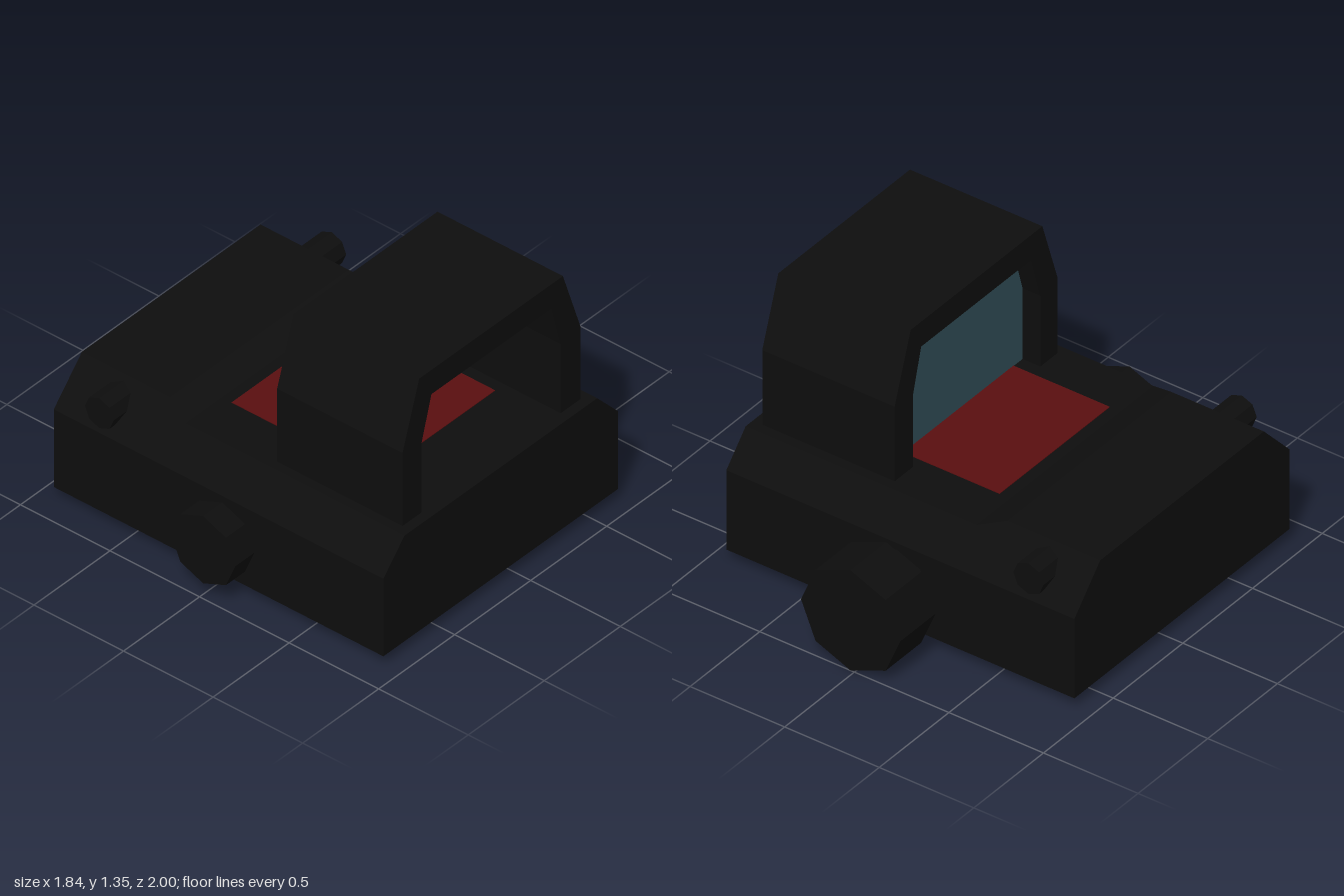
import * as THREE from 'three';

const black = new THREE.MeshStandardMaterial({ color: 0x0e0e0e });
black.name = 'matte black';
const red = new THREE.MeshStandardMaterial({ color: 0x5a0f10 });
red.name = 'dark red';
const glass = new THREE.MeshStandardMaterial({ color: 0x324f58 });
glass.name = 'tinted glass';

const FLOOR = 0.63; // height of the deck under the hood

function add(parent, name, geometry, material) {
  const mesh = new THREE.Mesh(geometry, material);
  mesh.name = name;
  parent.add(mesh);
  return mesh;
}

// Base: chamfered cross-sections along x, with the deck stepping up at the right end
function baseGeometry() {
  const stations = [[-0.92, 0.68], [-0.43, 0.68], [-0.3, FLOOR], [0.92, FLOOR]];
  const section = (h) => [
    [0.875, 0.065], [0.875, 0.48], [0.875 - (h - 0.48) * 0.925, h],
    [-0.67 + (h - 0.48) * 0.925, h], [-0.67, 0.48], [-0.67, 0.065],
  ];
  const n = 6, pos = [], idx = [];
  for (const [x, h] of stations) for (const [z, y] of section(h)) pos.push(x, y, z);
  for (let s = 0; s < stations.length - 1; s++) {
    for (let i = 0; i < n; i++) {
      const a = s * n + i, b = s * n + (i + 1) % n;
      idx.push(a, a + n, b + n, a, b + n, b);
    }
  }
  const last = (stations.length - 1) * n;
  for (let i = 1; i < n - 1; i++) {
    idx.push(0, i, i + 1);
    idx.push(last, last + i + 1, last + i);
  }
  const g = new THREE.BufferGeometry();
  g.setAttribute('position', new THREE.Float32BufferAttribute(pos, 3));
  g.setIndex(idx);
  const flat = g.toNonIndexed();
  flat.computeVertexNormals();
  return flat;
}

// Extrudes a (z, y) outline along +x, starting at x
function extrudeAlongX(points, x, depth) {
  const shape = new THREE.Shape(points.map(([z, y]) => new THREE.Vector2(-z, y)));
  const g = new THREE.ExtrudeGeometry(shape, { depth, bevelEnabled: false });
  return g.rotateY(Math.PI / 2).translate(x, 0, 0);
}

// Eight-sided cylinder along z between two depths
function octagon(radius, x, y, z0, z1) {
  const g = new THREE.CylinderGeometry(radius, radius, z1 - z0, 8).toNonIndexed();
  g.computeVertexNormals();
  return g.rotateX(Math.PI / 2).translate(x, y, (z0 + z1) / 2);
}

export function createModel() {
  const model = new THREE.Group();
  model.name = 'reflexSight';

  add(model, 'base', baseGeometry(), black);

  // Hood: an arch open along x
  const outer = [[0.69, FLOOR - 0.02], [0.69, 1.02], [0.58, 1.355],
    [-0.365, 1.355], [-0.48, 1.02], [-0.48, FLOOR - 0.02]];
  const inner = [[0.565, FLOOR - 0.02], [0.565, 1.0], [0.5, 1.225],
    [-0.29, 1.225], [-0.35, 1.0], [-0.35, FLOOR - 0.02]];
  add(model, 'hood', extrudeAlongX([...outer, ...[...inner].reverse()], 0.17, 0.7), black);

  // Lens inside the hood
  add(model, 'lens', extrudeAlongX(inner, 0.264, 0.006), glass);

  // Red panel on the deck, running under the lens
  const panel = new THREE.BoxGeometry(0.8, 0.006, 0.79);
  add(model, 'deckPanel', panel.translate(0.155, FLOOR, 0.105), red);

  // Cross bolt with a large knob at the back
  add(model, 'boltFront', octagon(0.18, 0.02, 0.265, 0.8, 1), black);
  add(model, 'boltBack', octagon(0.18, 0.02, 0.265, -0.8, -0.6), black);
  add(model, 'knob', octagon(0.262, 0.02, 0.265, -1, -0.745), black);

  // Small adjustment screws on both chamfers
  add(model, 'screwFront', octagon(0.08, -0.67, 0.58, 0.65, 0.87), black);
  add(model, 'screwBack', octagon(0.08, -0.67, 0.58, -0.66, -0.45), black);

  return model;
}
